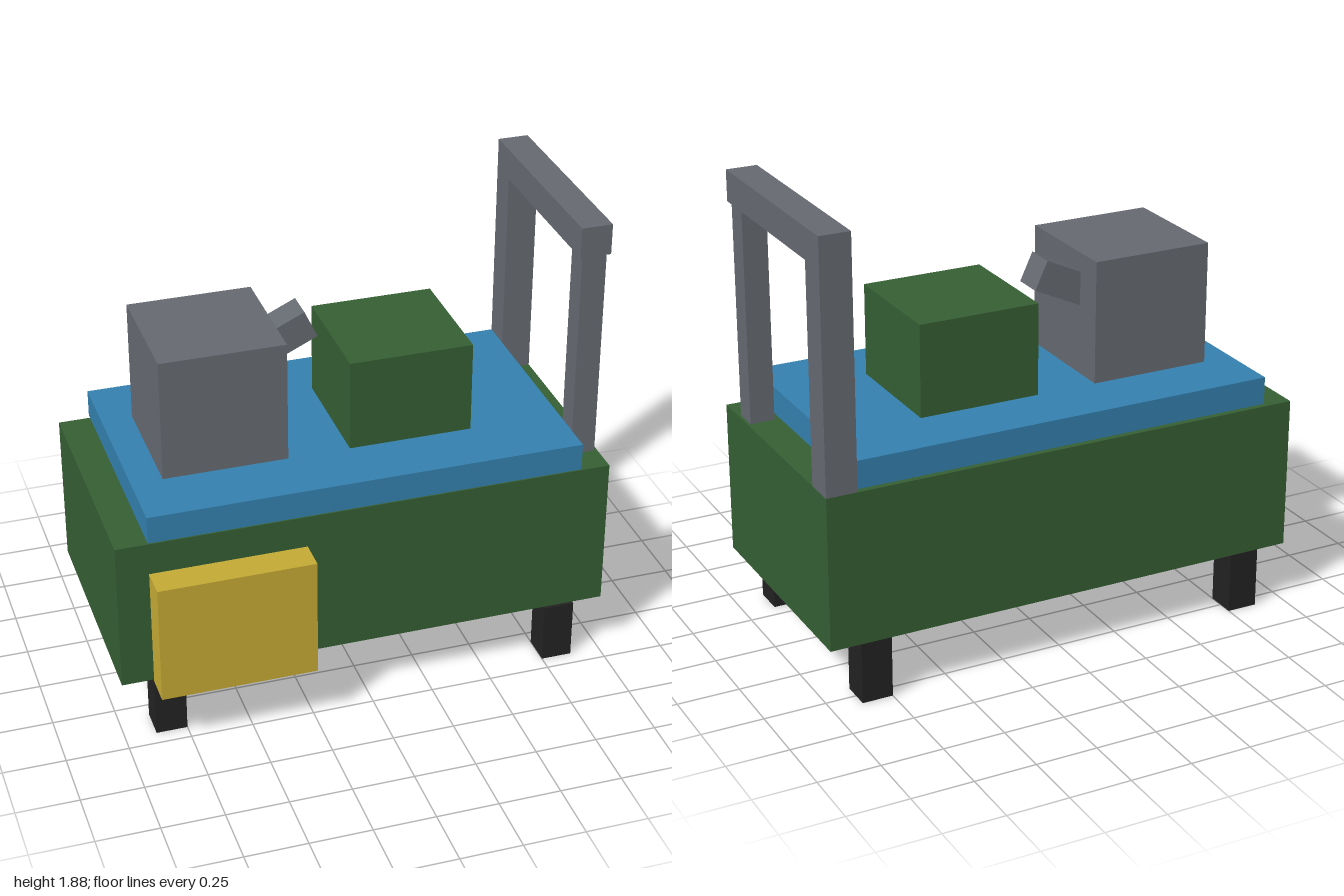
import * as THREE from 'three';

const material = (name, color) => {
  const m = new THREE.MeshStandardMaterial({ color });
  m.name = name;
  return m;
};

export function createModel() {
  const green = material('green', 0x355e33);
  const grey = material('grey', 0x656970);
  const blue = material('blue', 0x3480ae);
  const yellow = material('yellow', 0xc4a935);
  const black = material('black', 0x222222);

  const model = new THREE.Group();
  model.name = 'machine';

  // Box spanning two opposite corners
  const box = (name, mat, [x0, y0, z0], [x1, y1, z1]) => {
    const mesh = new THREE.Mesh(new THREE.BoxGeometry(x1 - x0, y1 - y0, z1 - z0), mat);
    mesh.position.set((x0 + x1) / 2, (y0 + y1) / 2, (z0 + z1) / 2);
    mesh.name = name;
    model.add(mesh);
    return mesh;
  };

  // Main cabinet and the slab floating just above it
  box('body', green, [-1, 0.25, -0.5625], [1, 0.875, 0.425]);
  box('tableTop', blue, [-0.875, 0.8875, -0.5625], [0.875, 1, 0.4375]);

  // Four legs
  for (const [side, x] of [['Right', -0.875], ['Left', 0.75]]) {
    for (const [end, z] of [['front', 0.3125], ['back', -0.5625]]) {
      box(`${end}${side}Leg`, black, [x, 0, z], [x + 0.125, 0.25, z + 0.125]);
    }
  }

  // Blocks standing on the cabinet
  box('headBlock', grey, [-0.75, 0.875, -0.3125], [-0.25, 1.5, 0.1875]);
  box('workBlock', green, [0, 0.875, -0.3125], [0.5, 1.375, 0.1875]);

  // Tilted spout on the head block
  const spout = box('spout', grey, [-0.317, 1.3175, -0.1875], [-0.067, 1.4425, -0.0625]);
  spout.rotation.z = THREE.MathUtils.degToRad(25);

  // Upright frame on the left end
  box('backPost', grey, [0.875, 0.875, -0.5625], [1, 1.75, -0.4375]);
  box('frontPost', grey, [0.8875, 0.875, 0.2], [0.9875, 1.75, 0.3]);
  box('crossbar', grey, [0.875, 1.75, -0.5625], [1, 1.875, 0.3125]);

  // Front panel and its mount
  box('frontPanel', yellow, [-0.875, 0.25, 0.4375], [-0.25, 0.75, 0.5625]);
  box('panelMount', black, [-0.625, 0.5, 0.425], [-0.5, 0.625, 0.4375]);

  return model;
}
